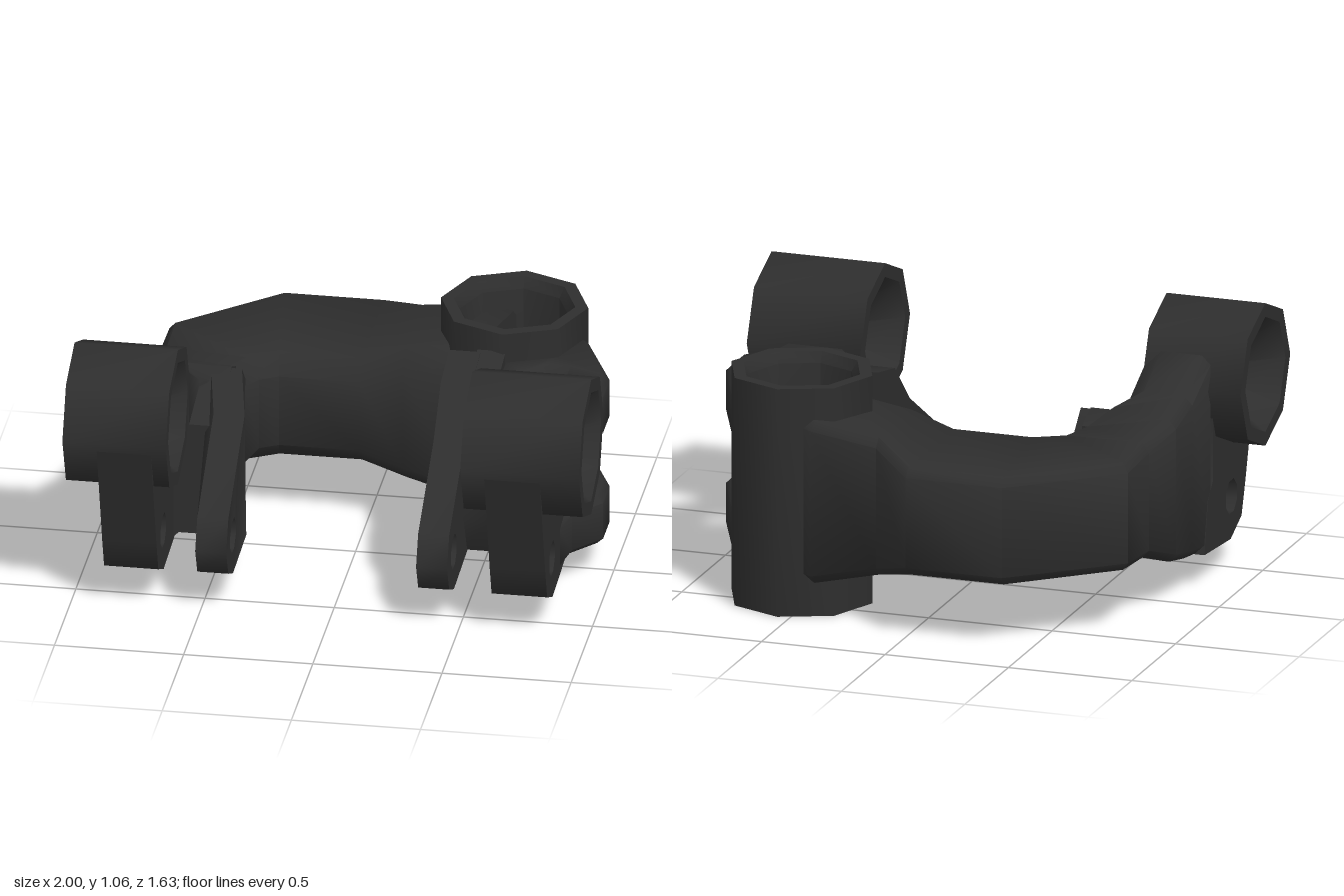
import * as THREE from 'three';
import { toCreasedNormals } from 'three/addons/utils/BufferGeometryUtils.js';

const iron = new THREE.MeshStandardMaterial({ color: 0x2e2e2e });
iron.name = 'dark iron';

export function createModel() {
  const group = new THREE.Group();

  function add(name, geometry, crease = 0.9) {
    const mesh = new THREE.Mesh(toCreasedNormals(geometry, crease), iron);
    mesh.name = name;
    group.add(mesh);
    return mesh;
  }

  // Eight-sided tube, upright, from y = 0 to length, with countersunk ends
  function tube(length, outer, rim, bore, depth) {
    const profile = [
      [rim, 0], [outer, 0], [outer, length], [rim, length],
      [bore, length - depth], [bore, depth], [rim, 0],
    ].map(([r, y]) => new THREE.Vector2(r, y));
    return new THREE.LatheGeometry(profile, 8);
  }

  // Outline with optional octagonal hole [u, v, radius]
  function outline(points, hole) {
    const shape = new THREE.Shape(points.map(([u, v]) => new THREE.Vector2(u, v)));
    if (hole) {
      const ring = [];
      for (let i = 0; i < 8; i++) {
        const a = (i + 0.5) * Math.PI / 4;
        ring.push(new THREE.Vector2(hole[0] + hole[2] * Math.cos(a), hole[1] + hole[2] * Math.sin(a)));
      }
      shape.holes.push(new THREE.Path(ring));
    }
    return shape;
  }

  // Side profile given as [z, y], extruded from x0 to x1
  function sidePlate(points, x0, x1, hole) {
    const shape = outline(points.map(([z, y]) => [-z, y]), hole && [-hole[0], hole[1], hole[2]]);
    const g = new THREE.ExtrudeGeometry(shape, { depth: x1 - x0, bevelEnabled: false });
    return g.rotateY(Math.PI / 2).translate(x0, 0, 0);
  }

  // Plan profile given as [x, z], extruded from y0 to y1 with softened edges
  function flatPlate(points, y0, y1, hole) {
    const b = 0.025;
    const shape = outline(points.map(([x, z]) => [x, -z]), [hole[0], -hole[1], hole[2]]);
    const g = new THREE.ExtrudeGeometry(shape, {
      depth: y1 - y0 - 2 * b, bevelEnabled: true, bevelThickness: b, bevelSize: b, bevelOffset: -b, bevelSegments: 1,
    });
    return g.rotateX(-Math.PI / 2).translate(0, y0 + b, 0);
  }

  // Upright sleeve
  add('uprightSleeve', tube(0.91, 0.285, 0.235, 0.21, 0.04)).position.set(0.55, 0, -0.395);

  // Horizontal bushing tubes at both front corners
  for (const [name, x0, x1] of [['rightBushing', -1, -0.6], ['leftBushing', 0.54, 1]]) {
    const g = tube(x1 - x0, 0.285, 0.23, 0.14, 0.12).rotateZ(-Math.PI / 2);
    add(name, g).position.set(x0, 0.775, 0.53);
  }

  // Curved arm: [inner x, inner z, outer x, outer z, bottom, top]
  const sections = [
    [0.43, -0.24, 0.525, -0.6, 0.14, 0.79],
    [0.36, -0.2, 0.42, -0.665, 0.135, 0.785],
    [0.15, -0.2, 0.15, -0.68, 0.2, 0.75],
    [-0.02, -0.2, -0.02, -0.82, 0.26, 0.69],
    [-0.33, -0.2, -0.41, -0.82, 0.26, 0.69],
    [-0.4, -0.16, -0.8, -0.48, 0.26, 0.69],
    [-0.44, -0.07, -0.8, -0.24, 0.24, 0.7],
    [-0.5, 0.03, -0.85, -0.07, 0.18, 0.75],
    [-0.59, 0.1, -0.86, 0.09, 0.15, 0.8],
    [-0.6, 0.27, -0.87, 0.27, 0.13, 0.91],
  ];
  const positions = [], index = [];
  for (const [ix, iz, ox, oz, y0, y1] of sections) {
    const w = Math.hypot(ox - ix, oz - iz);
    const a = 0.07, b = 0.035; // inner and outer chamfers
    const ring = [
      [0, y0 + a], [a / w, y0], [1 - b / w, y0], [1, y0 + b],
      [1, y1 - b], [1 - b / w, y1], [a / w, y1], [0, y1 - a],
    ];
    for (const [t, y] of ring) positions.push(ix + (ox - ix) * t, y, iz + (oz - iz) * t);
  }
  const last = (sections.length - 1) * 8;
  for (let i = 0; i < last; i += 8) {
    for (let j = 0; j < 8; j++) {
      const a = i + j, b = i + (j + 1) % 8;
      index.push(a, a + 8, b, b, a + 8, b + 8);
    }
  }
  for (let j = 1; j < 7; j++) index.push(0, j, j + 1, last, last + j + 1, last + j);
  const arm = new THREE.BufferGeometry();
  arm.setAttribute('position', new THREE.Float32BufferAttribute(positions, 3));
  arm.setIndex(index);
  add('curvedArm', arm, 0.85);

  // Webs hanging under the bushings, each with a bolt hole
  const boltHole = [0.51, 0.28, 0.07];
  const web = [
    [0.8, 0.74], [0.67, 0.3], [0.625, 0.17], [0.5, 0.112], [0.2, 0.135], [0.24, 0.34],
    [0.295, 0.4], [0.295, 0.72], [0.35, 0.6], [0.53, 0.52], [0.71, 0.6],
  ];
  add('rightWeb', sidePlate(web, -0.87, -0.66, boltHole));
  add('leftWeb', sidePlate(web, 0.63, 0.845, boltHole));

  // Inner lugs facing the webs
  const lugNose = [[0.62, 0.4], [0.67, 0.28], [0.62, 0.17], [0.51, 0.12], [0.2, 0.135]];
  const rightLug = sidePlate([[-0.08, 0.66], [0.0, 0.74], [0.24, 0.66], ...lugNose, [-0.08, 0.24]], -0.51, -0.39, boltHole);
  const p = rightLug.attributes.position;
  for (let i = 0; i < p.count; i++) if (p.getZ(i) < 0.1) p.setX(i, p.getX(i) - 0.05);
  add('rightInnerLug', rightLug);
  add('leftInnerLug', sidePlate([[-0.11, 0.83], [0.09, 0.79], [0.26, 0.62], ...lugNose, [-0.11, 0.12]], 0.345, 0.465, boltHole));

  // Blocks joining the lugs to the rest of the casting
  add('rightLugBlock', sidePlate([[-0.1, 0.7], [0, 0.745], [0.27, 0.62], [0.27, 0.16], [-0.1, 0.24]], -0.66, -0.48));
  add('leftLugBlock', sidePlate([[-0.13, 0.83], [0.09, 0.79], [0.28, 0.59], [0.28, 0.3], [0.2, 0.14], [-0.13, 0.13]], 0.45, 0.56));

  // Pair of level plates with a vertical pin hole
  const plan = [
    [0.835, -0.39], [0.97, -0.08], [0.97, 0.07], [0.87, 0.19], [0.845, 0.33], [0.63, 0.33],
    [0.54, 0.16], [0.54, -0.14], [0.725, -0.225], [0.795, -0.39],
  ];
  add('upperPinPlate', flatPlate(plan, 0.59, 0.79, [0.76, 0, 0.11]));
  add('lowerPinPlate', flatPlate(plan, 0.14, 0.34, [0.76, 0, 0.11]));

  return group;
}
